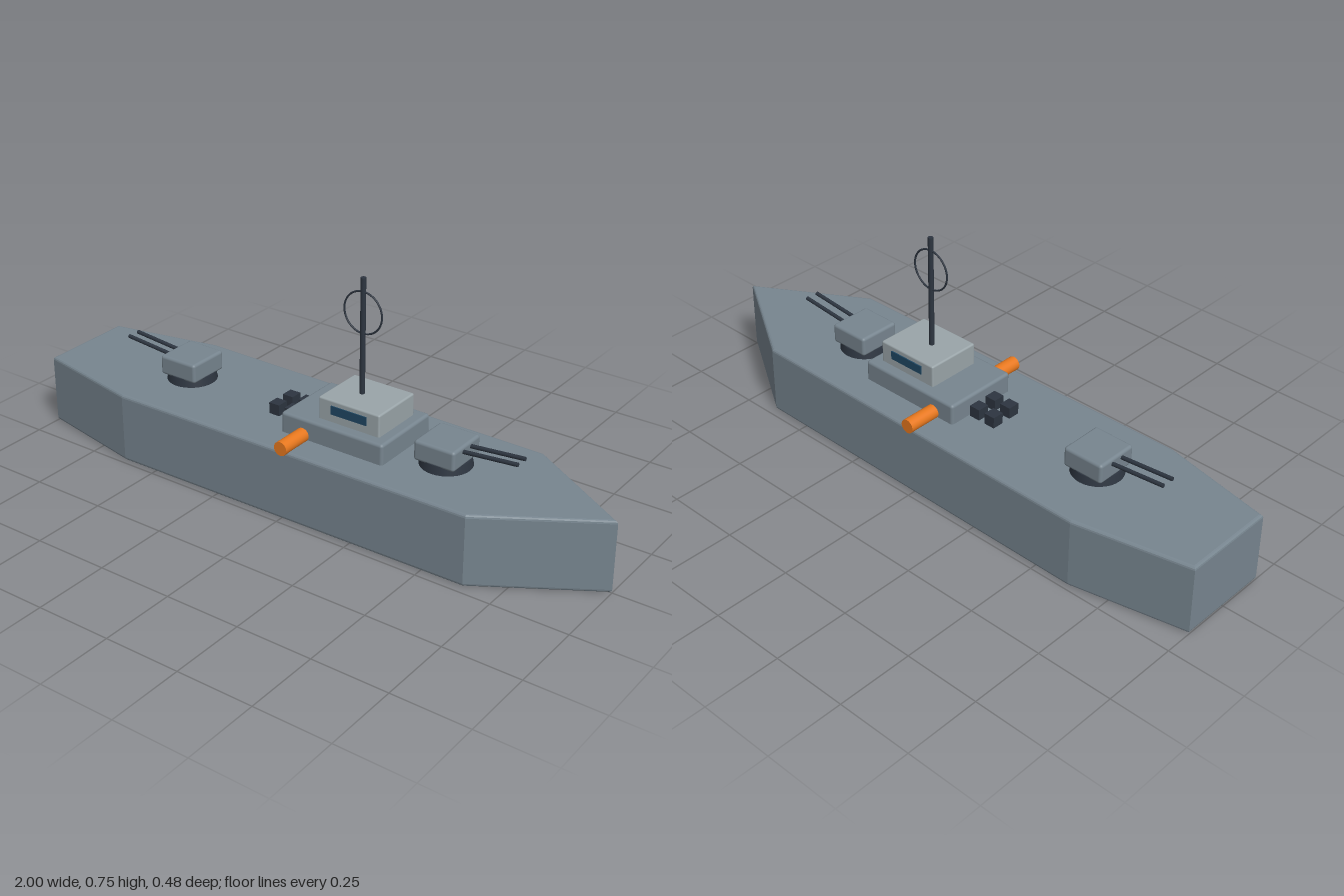
import * as THREE from 'three';
import { RoundedBoxGeometry } from 'three/addons/geometries/RoundedBoxGeometry.js';

const paint = (color) => new THREE.MeshStandardMaterial({ color });

export function createModel() {
  const ship = new THREE.Group();
  ship.name = 'warship';
  const grey = paint(0x77858f), pale = paint(0x9aa5a9), dark = paint(0x2d3540);
  const glass = paint(0x1f4763), orange = paint(0xe8781e);

  const add = (name, geometry, material, x = 0, y = 0, z = 0, parent = ship) => {
    const mesh = new THREE.Mesh(geometry, material);
    mesh.name = name;
    mesh.position.set(x, y, z);
    parent.add(mesh);
    return mesh;
  };
  const rounded = (w, h, d, r) => new RoundedBoxGeometry(w, h, d, 3, r);

  // Hull: plan outline extruded upwards with a small rounded edge
  const b = 0.01, height = 0.235;
  const half = [[-1 + b, 0.15], [-0.625, 0.225], [0.64, 0.212]];
  const outline = [
    ...half.map(([x, z]) => new THREE.Vector2(x, -z)),
    new THREE.Vector2(1 - 1.41 * b, 0),
    ...half.slice().reverse().map(([x, z]) => new THREE.Vector2(x, z)),
  ];
  const hull = new THREE.ExtrudeGeometry(new THREE.Shape(outline), {
    depth: height - 2 * b, bevelEnabled: true, bevelSize: b, bevelThickness: b, bevelSegments: 3,
  });
  hull.rotateX(-Math.PI / 2);
  add('hull', hull, grey, 0, b, 0);

  // Deckhouse and bridge
  add('deckhouse', rounded(0.37, 0.08, 0.256, 0.01), grey, 0.114, 0.262, 0);
  add('bridge', rounded(0.22, 0.08, 0.186, 0.006), pale, 0.154, 0.334, 0);
  for (const side of [1, -1]) {
    const name = side > 0 ? 'Front' : 'Back';
    add('bridgeWindow' + name, new THREE.BoxGeometry(0.128, 0.028, 0.01), glass, 0.155, 0.343, side * 0.092);

    // Life raft canister lying across the deck edge
    const raft = new THREE.CylinderGeometry(0.023, 0.023, 0.13, 24).rotateX(Math.PI / 2);
    add('raftCanister' + name, raft, orange, 0.01, 0.248, side * 0.174);
  }

  // Mast with ring aerial
  add('mast', new THREE.CylinderGeometry(0.0085, 0.0085, 0.378, 16), dark, 0.138, 0.56, 0);
  add('ringAerial', new THREE.TorusGeometry(0.067, 0.003, 8, 48), dark, 0.138, 0.637, 0);

  // Deck lockers behind the deckhouse
  for (const x of [-0.154, -0.094]) {
    for (const z of [-0.035, 0.035]) {
      add('deckLocker', new THREE.BoxGeometry(0.038, 0.04, 0.04), dark, x, 0.252, z);
    }
  }

  // Twin-gun turrets, built facing +x and turned round for the stern
  const turret = (name, x, turn) => {
    const group = new THREE.Group();
    group.name = name;
    group.position.set(x, height, 0);
    group.rotation.y = turn;
    ship.add(group);
    add('turretBase', new THREE.CylinderGeometry(0.076, 0.082, 0.028, 32), dark, 0, 0.012, 0, group);
    add('gunHouse', rounded(0.14, 0.066, 0.146, 0.01), grey, 0, 0.053, 0, group);
    for (const z of [-0.021, 0.021]) {
      const barrel = new THREE.CylinderGeometry(0.0065, 0.0065, 0.2, 12).rotateZ(-Math.PI / 2);
      add('gunBarrel', barrel, dark, 0.15, 0.076, z, group).rotation.z = 0.09;
    }
  };
  turret('bowTurret', 0.44, 0);
  turret('sternTurret', -0.53, Math.PI);

  return ship;
}
